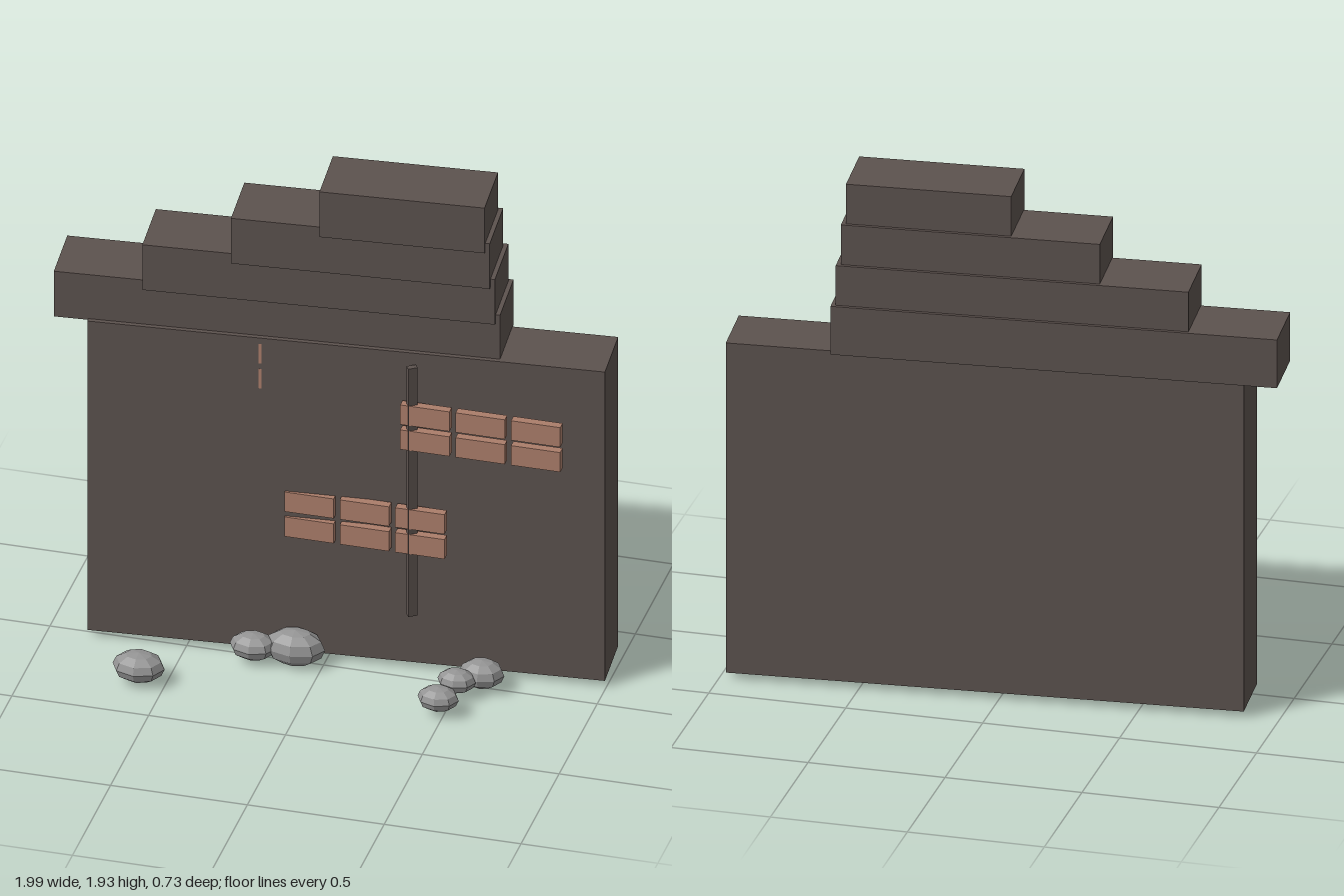
import * as THREE from 'three';

const flat = (name, color) => {
  const m = new THREE.MeshStandardMaterial({ color, flatShading: true });
  m.name = name;
  return m;
};

export function createModel() {
  const group = new THREE.Group();
  const stone = flat('dark stone', 0x5c524e);
  const clay = flat('clay brick', 0xab7d6a);
  const grey = flat('grey rock', 0x949494);

  const add = (name, geometry, material, x, y, z, turn = 0) => {
    const mesh = new THREE.Mesh(geometry, material);
    mesh.name = name;
    mesh.position.set(x, y, z);
    mesh.rotation.y = turn;
    group.add(mesh);
    return mesh;
  };
  const box = (w, h, d) => new THREE.BoxGeometry(w, h, d);

  // Slightly turned wall slab
  const turn = 0.081;
  add('wall', box(1.856, 1.265, 0.246), stone, 0.06, 0.6575, -0.167, turn);

  // Stepped gable, each tier shorter and shifted to the left
  for (let i = 0; i < 4; i++) {
    add('gableTier' + (i + 1), box(1.6 - 0.336 * i, 0.185, 0.25), stone,
      -0.192 + 0.1525 * i, 1.3775 + 0.152 * i, -0.166 + 0.0007 * i, turn);
  }

  // Thin upright post, turned on its axis
  add('post', box(0.034, 1.015, 0.022), stone, 0.313, 0.7425, -0.036, 0.6);

  // Exposed brick patches: three columns by two rows
  const brick = box(0.18, 0.08, 0.032);
  for (const [cx, cy] of [[0.567, 1.007], [0.144, 0.583], [-0.525, 1.175]]) {
    for (let col = -1; col <= 1; col++) {
      for (const row of [-1, 1]) {
        add('brick', brick, clay, cx + col * 0.2025, cy + row * 0.051, -0.035);
      }
    }
  }

  // Rubble: position, then radii
  const rock = new THREE.SphereGeometry(1, 8, 6);
  const rocks = [
    [-0.595, 0.067, 0.29, 0.095, 0.055, 0.075],
    [-0.245, 0.067, 0.045, 0.085, 0.05, 0.065],
    [-0.1, 0.068, 0.015, 0.11, 0.068, 0.073],
    [0.48, 0.067, 0.22, 0.075, 0.045, 0.06],
    [0.51, 0.067, 0.085, 0.07, 0.043, 0.055],
    [0.582, 0.067, 0.013, 0.082, 0.053, 0.065],
  ];
  for (const [x, y, z, rx, ry, rz] of rocks) {
    add('rock', rock, grey, x, y, z).scale.set(rx, ry, rz);
  }
  return group;
}
